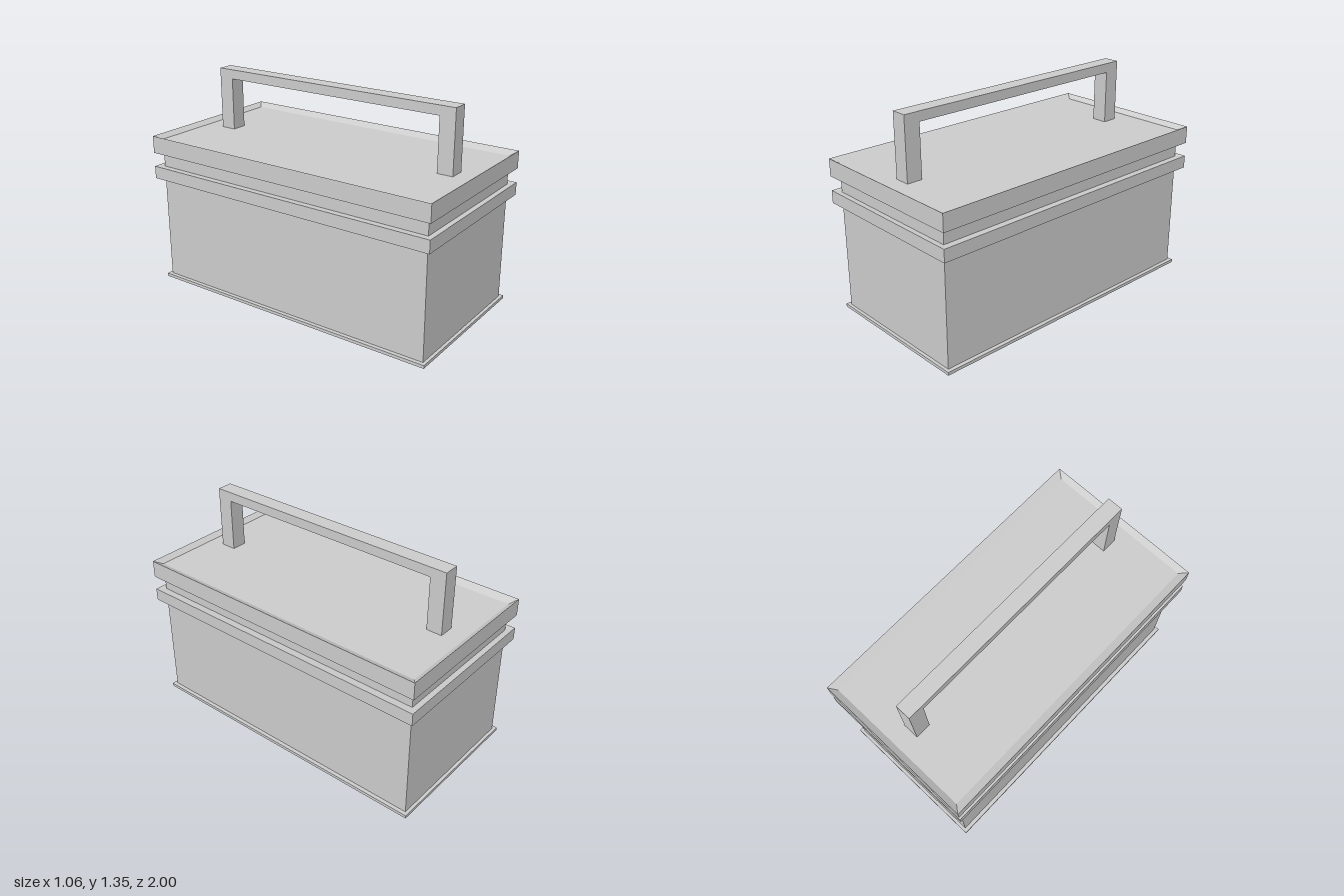
import * as THREE from 'three';

const material = new THREE.MeshStandardMaterial({ color: 0xcccccc, flatShading: true });

// Skins a stack of rectangles [halfX, y, halfZ], running from the underside to the top.
function rectLoft(name, rings) {
  const corners = ([x, y, z]) => [[x, y, z], [x, y, -z], [-x, y, -z], [-x, y, z]];
  const positions = [];
  for (let i = 0; i < rings.length - 1; i++) {
    const low = corners(rings[i]);
    const high = corners(rings[i + 1]);
    for (let k = 0; k < 4; k++) {
      const n = (k + 1) % 4;
      positions.push(...low[k], ...low[n], ...high[n], ...low[k], ...high[n], ...high[k]);
    }
  }
  const geometry = new THREE.BufferGeometry();
  geometry.setAttribute('position', new THREE.Float32BufferAttribute(positions, 3));
  geometry.computeVertexNormals();
  const mesh = new THREE.Mesh(geometry, material);
  mesh.name = name;
  return mesh;
}

// Upright U-shaped handle running front to back along the lid.
function createHandle(floorY) {
  const outline = [
    [-0.845, floorY], [-0.845, 1.35], [0.865, 1.35], [0.865, floorY],
    [0.765, floorY], [0.765, 1.29], [-0.745, 1.29], [-0.745, floorY],
  ];
  const shape = new THREE.Shape(outline.map(([z, y]) => new THREE.Vector2(-z, y)));
  const geometry = new THREE.ExtrudeGeometry(shape, { depth: 0.1, bevelEnabled: false });
  geometry.translate(0, 0, -0.05);
  geometry.rotateY(Math.PI / 2);
  const mesh = new THREE.Mesh(geometry, material);
  mesh.name = 'handle';
  return mesh;
}

export function createModel() {
  const model = new THREE.Group();
  model.name = 'handledBox';
  const wall = [0.48, 0.962];
  const rim = [0.53, 1];
  const foot = [0.505, 0.982];
  const floorY = 0.955;
  const at = ([x, z], y) => [x, y, z];

  model.add(
    // thin foot plate
    rectLoft('basePlate', [[0, 0, 0], at(foot, 0), at(foot, 0.02), at(wall, 0.02)]),
    // box walls
    rectLoft('body', [at(wall, 0.02), at(wall, 0.7)]),
    // projecting band around the walls
    rectLoft('band', [at(wall, 0.7), at(rim, 0.7), at(rim, 0.78), at(wall, 0.775)]),
    // recessed strip between band and lid
    rectLoft('neck', [at(wall, 0.775), at(wall, 0.873)]),
    // lid with a shallow sunken top and sloping inner rim
    rectLoft('lid', [
      at(wall, 0.873), at(rim, 0.87), at(rim, 0.98), at(wall, floorY), [0, floorY, 0],
    ]),
    createHandle(floorY),
  );
  return model;
}
